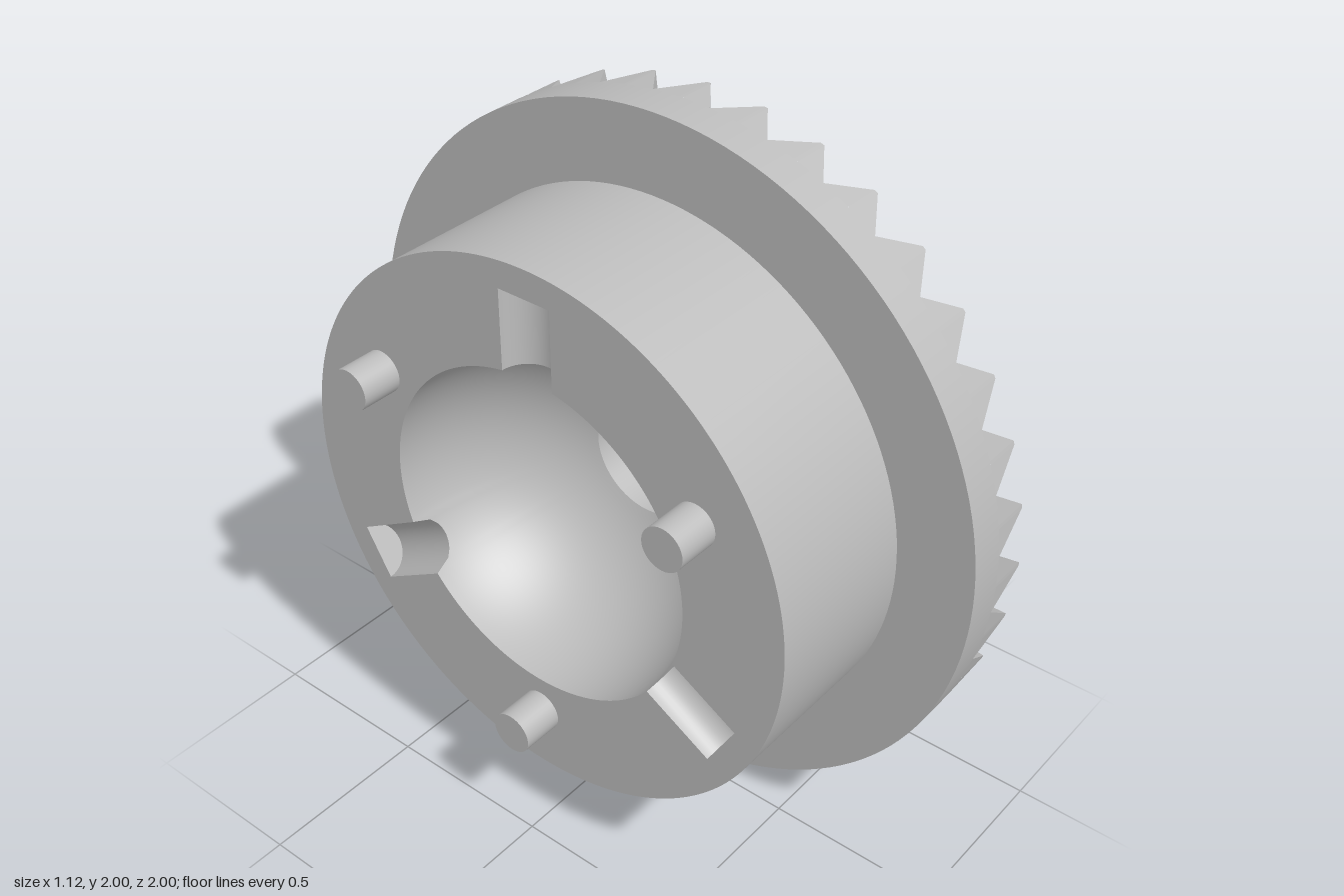
import * as THREE from 'three';
import { mergeGeometries } from 'three/addons/utils/BufferGeometryUtils.js';

const BACK = -0.44, RIM_BACK = 0.03, FACE = 0.17;      // stations along the x axle
const DRUM_R = 0.78, BOWL_R = 0.48, GROOVE_R = 0.08, GROOVE_END = 0.7;
const GROOVE_START = Math.sqrt(BOWL_R ** 2 - GROOVE_R ** 2);
const THIRD = (Math.PI * 2) / 3, DEG = Math.PI / 180;
const GROOVES = [0, 1, 2].map(i => Math.PI / 2 + i * THIRD);

// point at radius r, angle a (from +z towards +y) and station x
const polar = (r, a, x) => [x, r * Math.sin(a), r * Math.cos(a)];

// sharp-edged turned surface about the x axis; points are [radius, x]
function turned(points) {
  const bands = points.slice(1).map((p, i) => new THREE.LatheGeometry(
    [new THREE.Vector2(...points[i]), new THREE.Vector2(...p)], 144));
  return mergeGeometries(bands).rotateZ(-Math.PI / 2);
}

// smooth surface grid, facing du x dv
function grid(nu, nv, fn, closed = false) {
  const pos = [], index = [], cols = closed ? nu : nu + 1;
  for (let j = 0; j <= nv; j++)
    for (let i = 0; i < cols; i++) pos.push(...fn(i / nu, j / nv));
  for (let j = 0; j < nv; j++)
    for (let i = 0; i < nu; i++) {
      const a = j * cols + i, b = j * cols + (i + 1) % cols;
      index.push(a, b, b + cols, a, b + cols, a + cols);
    }
  const g = new THREE.BufferGeometry();
  g.setAttribute('position', new THREE.Float32BufferAttribute(pos, 3));
  g.setIndex(index);
  g.computeVertexNormals();
  return g;
}

// ring of 36 tapering wedge teeth
function teethGeometry() {
  const pos = [];
  const quad = (a, b, c, d) => pos.push(...a, ...b, ...c, ...a, ...c, ...d);
  // columns across one tooth: outer angle, inner angle, outer height, inner height
  const cols = [[-5, -5, 0.14, FACE], [-0.3, -1.2, 0.25, 0.195],
    [0.3, 1.2, 0.25, 0.195], [5, 5, 0.14, FACE]];
  for (let t = 0; t < 36; t++) {
    for (let k = 0; k < 3; k++) {
      const [p, q] = [cols[k], cols[k + 1]].map(([ao, ai, xo, xi]) => {
        const o = (t * 10 + ao) * DEG, i = (t * 10 + ai) * DEG;
        return {
          outer: polar(1, o, xo), inner: polar(DRUM_R, i, xi),
          outerFoot: polar(1, o, 0.14), innerFoot: polar(DRUM_R, i, FACE)
        };
      });
      quad(p.inner, q.inner, q.outer, p.outer);
      quad(p.outerFoot, p.outer, q.outer, q.outerFoot);
      quad(p.innerFoot, q.innerFoot, q.inner, p.inner);
    }
  }
  const g = new THREE.BufferGeometry();
  g.setAttribute('position', new THREE.Float32BufferAttribute(pos, 3));
  g.computeVertexNormals();
  return g;
}

// flat back of the drum, cut out for the bowl and its three grooves
function backFaceGeometry() {
  const shape = new THREE.Shape().absarc(0, 0, DRUM_R, 0, Math.PI * 2);
  const half = Math.asin(GROOVE_R / BOWL_R), pts = [];
  for (const g of GROOVES) {
    const corner = (r, t) => pts.push(new THREE.Vector2(
      r * Math.cos(g) - t * Math.sin(g), r * Math.sin(g) + t * Math.cos(g)));
    corner(GROOVE_START, -GROOVE_R);
    corner(GROOVE_END, -GROOVE_R);
    corner(GROOVE_END, GROOVE_R);
    corner(GROOVE_START, GROOVE_R);
    for (let i = 1; i < 42; i++) {
      const a = g + half + (THIRD - 2 * half) * i / 42;
      pts.push(new THREE.Vector2(BOWL_R * Math.cos(a), BOWL_R * Math.sin(a)));
    }
  }
  shape.holes.push(new THREE.Path(pts));
  return new THREE.ShapeGeometry(shape, 144).rotateY(-Math.PI / 2).translate(BACK, 0, 0);
}

// hemispherical hollow whose rim dips where the grooves run in
function bowlGeometry() {
  const end = Math.acos(0.17 / BOWL_R);
  return grid(150, 24, (u, v) => {
    const a = Math.PI / 2 + u * Math.PI * 2;
    const off = ((u * 3 + 0.5) % 1 - 0.5) * THIRD;
    const dip = Math.sqrt(Math.max(0, GROOVE_R ** 2 - (BOWL_R * Math.sin(off)) ** 2));
    // iterate so the rim lies on both the sphere and the groove
    let start = Math.asin(dip / BOWL_R);
    for (let i = 0; i < 6; i++) {
      const t = BOWL_R * Math.cos(start) * Math.sin(off);
      start = Math.asin(Math.sqrt(Math.max(0, GROOVE_R ** 2 - t * t)) / BOWL_R);
      if (dip === 0) start = 0;
    }
    const e = start + (end - start) * v;
    return polar(BOWL_R * Math.cos(e), a, BACK + BOWL_R * Math.sin(e));
  }, true);
}

// half-round radial groove with a flat end
function grooveGeometry(g) {
  const at = (r, t, d) => [BACK + d,
    r * Math.sin(g) + t * Math.cos(g), r * Math.cos(g) - t * Math.sin(g)];
  const channel = grid(20, 1, (u, v) => at(
    GROOVE_START + (GROOVE_END - GROOVE_START) * v,
    GROOVE_R * Math.cos(Math.PI * u), GROOVE_R * Math.sin(Math.PI * u)));
  const cap = grid(20, 1, (u, v) => at(GROOVE_END,
    GROOVE_R * (1 - v) * Math.cos(Math.PI * u), GROOVE_R * (1 - v) * Math.sin(Math.PI * u)));
  return mergeGeometries([channel, cap]);
}

export function createModel() {
  const metal = new THREE.MeshStandardMaterial({ color: 0xbcbcbc });
  metal.name = 'plain grey';
  const model = new THREE.Group();
  model.name = 'crownGear';
  const add = (name, geometry) => {
    const mesh = new THREE.Mesh(geometry, metal);
    mesh.name = name;
    mesh.position.y = 1;
    model.add(mesh);
    return mesh;
  };

  // drum and toothed rim
  add('drumWall', turned([[DRUM_R, BACK], [DRUM_R, RIM_BACK]]));
  add('rim', turned([[DRUM_R, RIM_BACK], [1, RIM_BACK], [1, 0.14]]));
  add('teeth', teethGeometry());
  add('frontFace', turned([[DRUM_R, FACE], [0.26, FACE]]));

  // hub with neck, flange, sleeve and bore
  add('hub', turned([[0.26, FACE], [0.26, 0.25], [0.31, 0.25], [0.31, 0.29],
    [0.235, 0.29], [0.235, 0.555], [0.17, 0.555],
    [0.17, BACK + Math.sqrt(BOWL_R ** 2 - 0.17 ** 2)]]));

  // hollow back
  add('backFace', backFaceGeometry());
  add('bowl', bowlGeometry());
  GROOVES.forEach(g => add('groove', grooveGeometry(g)));

  // three drive pins set between the grooves
  for (const g of GROOVES) {
    const pin = new THREE.CylinderGeometry(0.06, 0.06, 0.12, 32).rotateZ(Math.PI / 2);
    add('pin', pin.translate(...polar(0.59, g + Math.PI, BACK - 0.06)));
  }
  return model;
}
